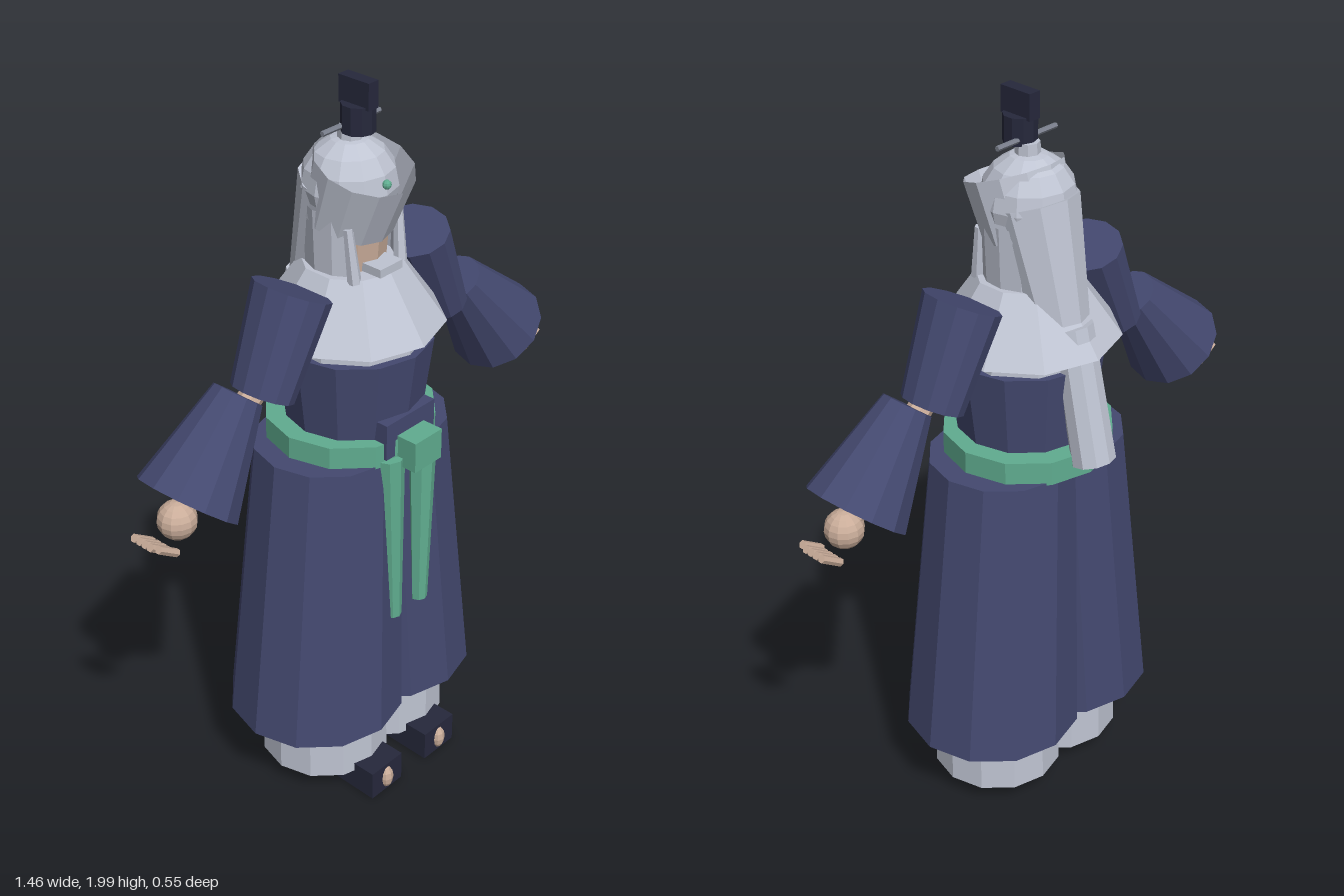
import * as THREE from 'three';

const mat = (name, color) => {
  const m = new THREE.MeshStandardMaterial({ color, flatShading: true, side: THREE.DoubleSide });
  m.name = name;
  return m;
};

export function createModel() {
  const navy = mat('navy cloth', 0x444970);
  const pale = mat('pale grey cloth', 0xbfc4d2);
  const green = mat('green sash', 0x60ad90);
  const dark = mat('dark lacquer', 0x26283c);
  const skin = mat('skin', 0xcaad9a);
  const steel = mat('grey metal', 0x7b808d);

  const model = new THREE.Group();
  model.name = 'robedFigure';

  const add = (name, geo, material, pos = [0, 0, 0], parent = model) => {
    const mesh = new THREE.Mesh(geo, material);
    mesh.name = name;
    mesh.position.set(...pos);
    parent.add(mesh);
    return mesh;
  };
  const box = (name, material, size, pos) => add(name, new THREE.BoxGeometry(...size), material, pos);
  const ball = (name, material, r, pos, w = 12, h = 8) => add(name, new THREE.SphereGeometry(r, w, h), material, pos);

  // Tapered limb from point a to point b; flat squeezes it along its own x
  const limb = (name, material, a, b, ra, rb, seg = 12, flat = 1) => {
    const A = new THREE.Vector3(...a), B = new THREE.Vector3(...b);
    const dir = A.clone().sub(B);
    const mesh = add(name, new THREE.CylinderGeometry(ra, rb, dir.length(), seg), material);
    mesh.position.copy(A).add(B).multiplyScalar(0.5);
    mesh.quaternion.setFromUnitVectors(new THREE.Vector3(0, 1, 0), dir.normalize());
    mesh.scale.x = flat;
    return mesh;
  };

  // Wide trouser leg: level ends, centre line sheared outwards
  const trouser = (s) => {
    const geo = new THREE.CylinderGeometry(0.193, 0.24, 0.81, 12);
    const p = geo.attributes.position;
    for (let i = 0; i < p.count; i++) p.setX(i, p.getX(i) + s * (0.115 - 0.025 * p.getY(i) / 0.405));
    geo.computeVertexNormals();
    add('trouserLeg', geo, navy, [0, 0.645, 0.003]);
  };

  // Sandal side profile, drawn as (z, y) and extruded across x
  const sandalShape = new THREE.Shape([
    [-0.085, 0.02], [0.13, 0.01], [0.24, 0.008], [0.24, 0.095], [0.13, 0.095], [0.09, 0.066], [-0.085, 0.066],
  ].map(([z, y]) => new THREE.Vector2(z, y)));
  const sandalGeo = new THREE.ExtrudeGeometry(sandalShape, { depth: 0.12, bevelEnabled: false });
  sandalGeo.translate(0, 0, -0.06).rotateY(-Math.PI / 2);

  for (const s of [-1, 1]) {
    // Legs and feet
    trouser(s);
    limb('underTrouser', pale, [s * 0.115, 0.4, 0.01], [s * 0.115, 0.07, 0.01], 0.17, 0.177);
    add('sandal', sandalGeo, dark, [s * 0.11, 0, 0]);
    ball('toe', skin, 0.036, [s * 0.11, 0.05, 0.235], 8, 6).scale.set(0.6, 1, 0.6);

    // Sash tails
    limb('sashTail', green, [s * 0.062, 1.06, 0.188], [s * 0.052, 0.565, 0.2], 0.041, 0.024, 8);

    // Sleeves and arms
    limb('upperSleeve', navy, [s * 0.216, 1.525, 0.01], [s * 0.325, 1.287, 0.01], 0.11, 0.088, 12, 0.8);
    limb('forearm', skin, [s * 0.31, 1.34, 0.01], [s * 0.6, 1.09, 0.01], 0.032, 0.03, 8);
    limb('lowerSleeve', navy, [s * 0.405, 1.32, 0.01], [s * 0.583, 1.105, 0.01], 0.065, 0.134);

    // Hands
    ball('hand', skin, 0.05, [s * 0.62, 1.07, 0.012], 12, 10);
    [-0.025, -0.006, 0.013, 0.031, 0.052].forEach((z, i) => {
      const x = i === 4 ? 0.69 : 0.697;
      limb(i === 4 ? 'thumb' : 'finger', skin, [s * (x + 0.028), 1.053, z], [s * (x - 0.028), 1.015, z], 0.011, 0.011, 6);
    });

    // Side locks beside the face
    limb('sideLock', pale, [s * 0.09, 1.66, 0.075], [s * 0.083, 1.52, 0.09], 0.012, 0.018, 6);
  }

  // Torso and sash
  limb('torso', navy, [0, 1.33, 0.012], [0, 1.04, 0.01], 0.205, 0.17);
  limb('undershirt', pale, [0, 1.42, 0.01], [0, 1.3, 0.01], 0.185, 0.19, 10);
  box('robeFold', navy, [0.18, 0.1, 0.06], [0, 1.115, 0.175]);
  limb('sash', green, [0, 1.11, 0], [0, 1.045, 0], 0.22, 0.22, 12, 1.03);
  box('sashKnot', green, [0.1, 0.085, 0.08], [0, 1.078, 0.225]);

  // Shoulder cape
  limb('cape', pale, [0, 1.53, 0.005], [0, 1.37, 0.003], 0.128, 0.24, 10);

  // Head and hood
  limb('face', skin, [0, 1.68, 0], [0, 1.5, 0], 0.1, 0.085, 10);
  box('chinWrap', pale, [0.08, 0.022, 0.08], [0, 1.542, 0.095]);
  ball('hoodCrown', pale, 0.122, [0, 1.73, -0.003]);

  const brim = add('hoodBrim', new THREE.CylinderGeometry(0.128, 0.116, 0.16, 12, 1, true), pale, [0, 1.718, 0.02]);
  brim.rotation.x = 0.34;

  // Hood sides hang down behind the face opening
  const open = 0.75;
  add('hoodSides', new THREE.CylinderGeometry(0.118, 0.112, 0.17, 10, 1, true, open, Math.PI * 2 - 2 * open),
    pale, [0, 1.605, 0]);

  // Long veil down the back
  limb('upperVeil', pale, [0, 1.73, -0.015], [0, 1.38, -0.115], 0.118, 0.075, 10);
  limb('lowerVeil', pale, [0, 1.44, -0.15], [0, 1.085, -0.228], 0.05, 0.055, 10, 1.1);
  ball('foreheadBead', green, 0.012, [0, 1.757, 0.116], 8, 6);

  // Topknot and hairpin
  limb('topknotBase', pale, [0, 1.875, 0], [0, 1.81, 0], 0.03, 0.034, 8);
  limb('topknot', dark, [0, 1.938, 0.025], [0, 1.868, 0.025], 0.043, 0.043, 10);
  box('topknotTuft', dark, [0.034, 0.068, 0.095], [0, 1.966, 0.025]);
  limb('hairpin', steel, [-0.1, 1.883, 0.003], [0.1, 1.883, 0.003], 0.007, 0.007, 6);

  return model;
}
